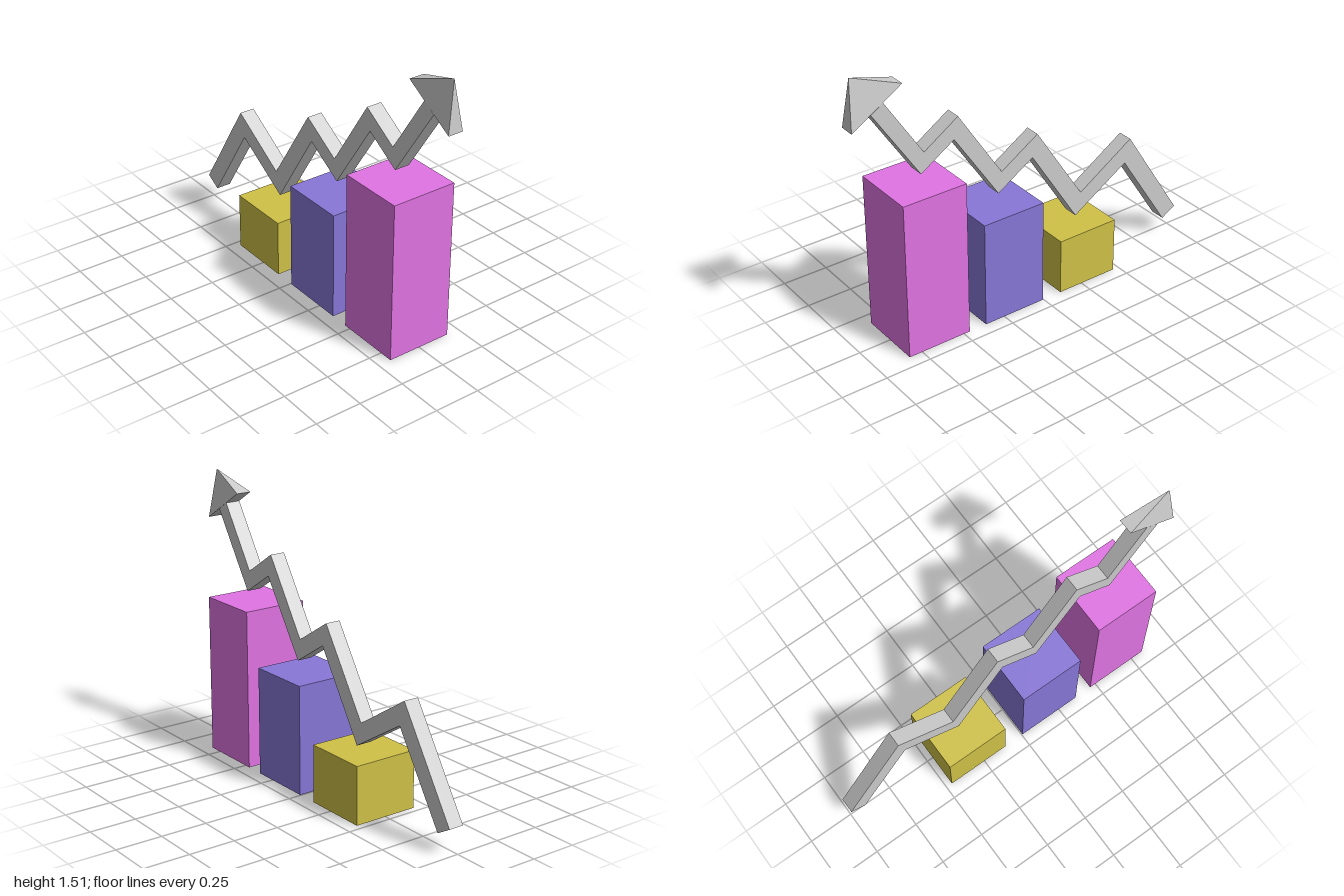
import * as THREE from 'three';
import { ConvexGeometry } from 'three/addons/geometries/ConvexGeometry.js';

const flat = (color) => new THREE.MeshStandardMaterial({ color, flatShading: true });

export function createModel() {
  const group = new THREE.Group();
  const add = (name, geometry, material) => {
    const mesh = new THREE.Mesh(geometry, material);
    mesh.name = name;
    group.add(mesh);
    return mesh;
  };

  // Bars of the chart: left edge, right edge, height, colour
  const bars = [
    ['shortBar', -0.465, -0.11, 0.31, 0xcfc147],
    ['middleBar', 0.005, 0.365, 0.585, 0x8877d7],
    ['tallBar', 0.465, 0.823, 0.86, 0xe074e3],
  ];
  for (const [name, x0, x1, h, color] of bars) {
    const bar = add(name, new THREE.BoxGeometry(x1 - x0, h, 0.357), flat(color));
    bar.position.set((x0 + x1) / 2, h / 2, 0);
  }

  // Zigzag trend line: upper and lower edges of the ribbon, extruded in z
  const grey = flat(0xcccccc);
  const zBack = -0.054, zFront = 0.029;
  const upper = [[-1, 0.14], [-0.66, 0.674], [-0.334, 0.465], [-0.05, 0.904],
    [0.17, 0.765], [0.422, 1.155], [0.618, 1.027], [0.828, 1.353]];
  const lower = [[-0.917, 0.092], [-0.628, 0.54], [-0.302, 0.337], [-0.02, 0.78],
    [0.19, 0.647], [0.447, 1.037], [0.639, 0.914], [0.896, 1.31]];
  const outline = [...lower, ...upper.reverse()].map(([x, y]) => new THREE.Vector2(x, y));
  const line = add('trendLine', new THREE.ExtrudeGeometry(new THREE.Shape(outline),
    { depth: zFront - zBack, bevelEnabled: false }), grey);
  line.position.z = zBack;

  // Arrowhead: pyramid on a thin rectangular base
  const corners = [new THREE.Vector3(0.975, 1.507, (zBack + zFront) / 2)];
  for (const z of [zBack, zFront]) {
    corners.push(new THREE.Vector3(0.722, 1.42, z), new THREE.Vector3(1, 1.246, z));
  }
  add('arrowHead', new ConvexGeometry(corners), grey);

  return group;
}
